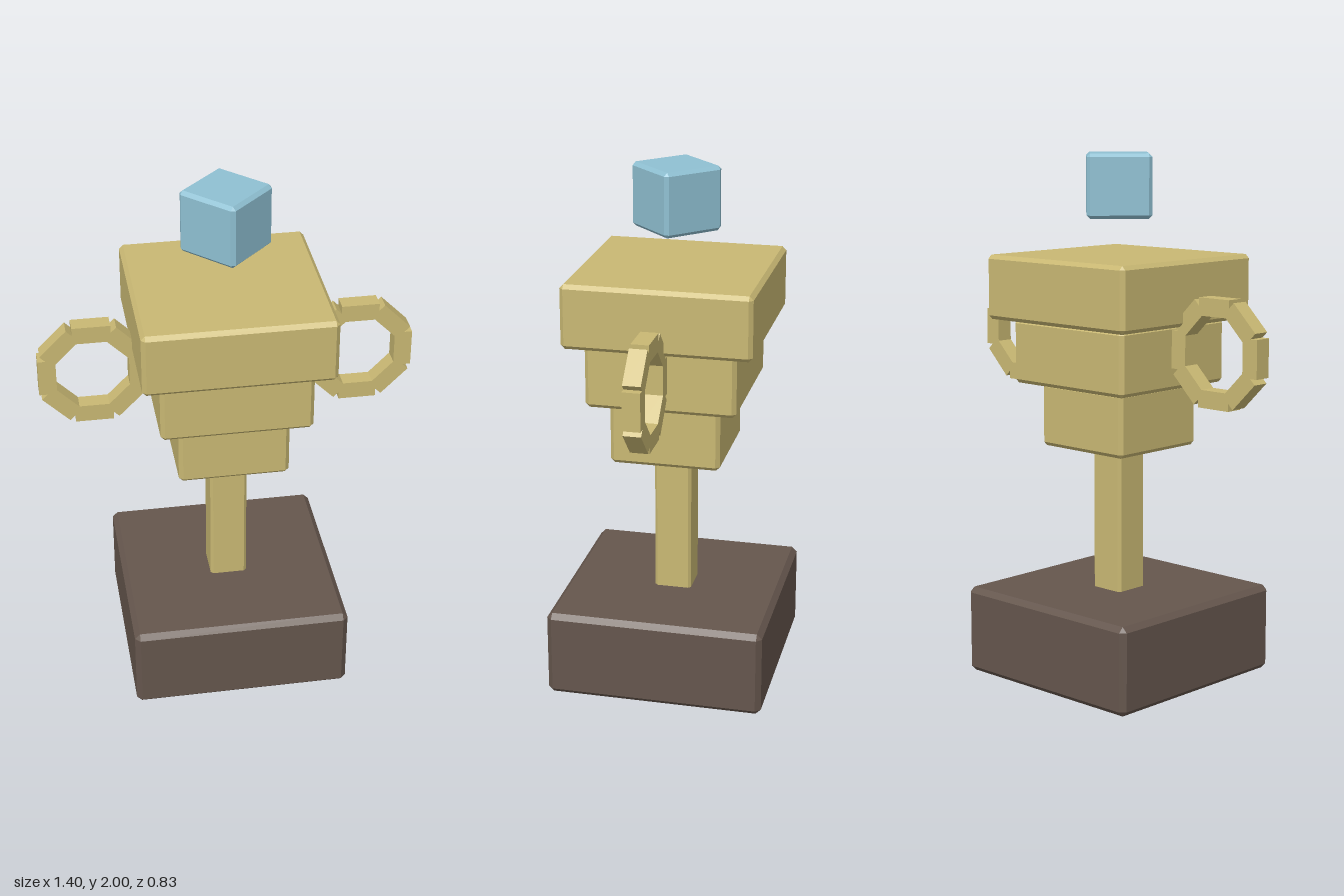
import * as THREE from 'three';
import { ConvexGeometry } from 'three/addons/geometries/ConvexGeometry.js';

const mat = (name, color) => new THREE.MeshStandardMaterial({ name, color });

// Box with flat chamfered edges, standing on y = bottom
function chamferBox(name, width, bottom, top, c, material) {
  const h = [width / 2, (top - bottom) / 2, width / 2];
  const points = [];
  for (const sx of [-1, 1]) for (const sy of [-1, 1]) for (const sz of [-1, 1]) {
    for (let axis = 0; axis < 3; axis++) {
      const p = h.map((v, i) => (i === axis ? v : v - c));
      points.push(new THREE.Vector3(sx * p[0], sy * p[1], sz * p[2]));
    }
  }
  const mesh = new THREE.Mesh(new ConvexGeometry(points), material);
  mesh.name = name;
  mesh.position.y = (bottom + top) / 2;
  return mesh;
}

// Octagonal ring of eight straight blocks
function handle(name, x, material) {
  const ring = new THREE.Group();
  ring.name = name;
  const block = new THREE.BoxGeometry(0.066, 0.142, 0.066);
  for (let i = 0; i < 8; i++) {
    const a = (i * Math.PI) / 4;
    const segment = new THREE.Mesh(block, material);
    segment.name = 'handleSegment';
    segment.position.set(Math.cos(a) * 0.168, Math.sin(a) * 0.168, 0);
    segment.rotation.z = a;
    ring.add(segment);
  }
  ring.position.set(x, 1.293, 0);
  return ring;
}

export function createModel() {
  const gold = mat('gold', 0xc9b873);
  const brown = mat('brown', 0x65564d);
  const blue = mat('paleBlue', 0x8fc0d2);
  const model = new THREE.Group();
  model.name = 'trophy';

  // Plinth and stem
  model.add(chamferBox('base', 0.83, 0, 0.335, 0.02, brown));
  model.add(chamferBox('stem', 0.142, 0.32, 0.91, 0.01, gold));

  // Stepped cup, widening upwards
  [0.418, 0.566, 0.706].forEach((width, i) => {
    const bottom = 0.892 + i * 0.243;
    model.add(chamferBox('cupTier' + (i + 1), width, bottom, bottom + 0.243, 0.015, gold));
  });

  // Side handles
  model.add(handle('leftHandle', 0.5, gold), handle('rightHandle', -0.5, gold));

  // Floating gem, turned on its corner
  const gem = chamferBox('gem', 0.243, 1.76, 2, 0.013, blue);
  gem.rotation.y = Math.PI / 4;
  model.add(gem);

  return model;
}
